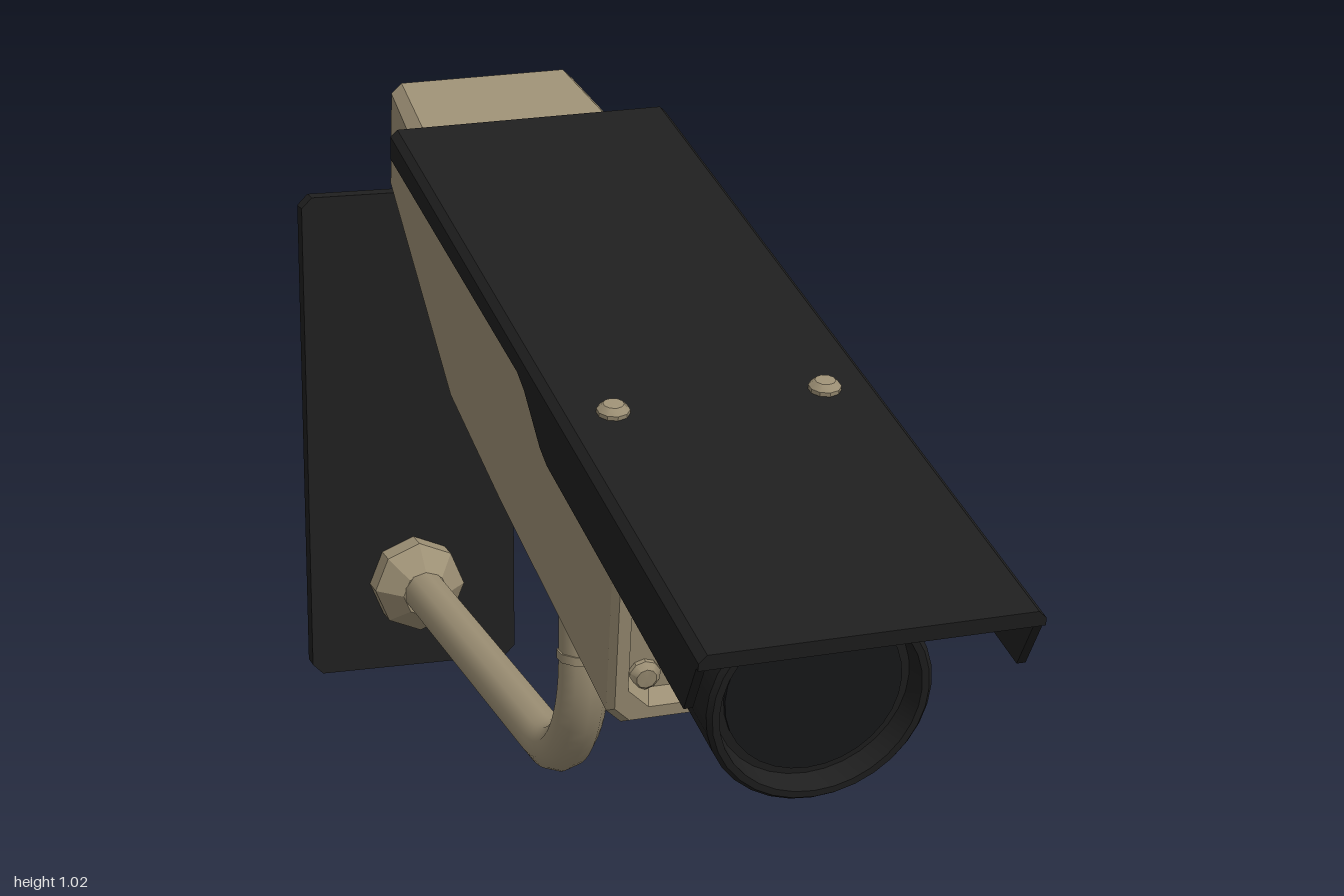
import * as THREE from 'three';
import { toCreasedNormals } from 'three/addons/utils/BufferGeometryUtils.js';

const mat = (name, color) => {
  const m = new THREE.MeshStandardMaterial({ color });
  m.name = name;
  return m;
};

export function createModel() {
  const beige = mat('beige paint', 0x9c8f74);
  const black = mat('black metal', 0x1f1f1f);
  const rubber = mat('black rubber', 0x111111);
  const steel = mat('grey steel', 0x55585a);
  const glass = mat('dark glass', 0x18191b);

  const model = new THREE.Group();
  model.name = 'wallCamera';
  const add = (parent, name, geo, material, x = 0, y = 0, z = 0) => {
    const mesh = new THREE.Mesh(geo, material);
    mesh.name = name;
    mesh.position.set(x, y, z);
    parent.add(mesh);
    return mesh;
  };
  const crease = (geo, angle = 0.6) => toCreasedNormals(geo, angle);
  const lathe = (pts, sides) =>
    crease(new THREE.LatheGeometry(pts.map(p => new THREE.Vector2(...p)), sides));
  const polygon = pts => new THREE.Shape(pts.map(p => new THREE.Vector2(...p)));
  const extrude = (pts, depth) =>
    new THREE.ExtrudeGeometry(polygon(pts), { depth, bevelEnabled: false });

  // Tilted camera head, with a slight roll
  const head = new THREE.Group();
  head.name = 'cameraHead';
  head.position.set(0, 0.7, 0);
  head.rotation.set(0.232, 0, 0.033);
  model.add(head);

  // Housing: chamfered sections [z, half width, bottom, top, chamfer], front recess to rear recess
  const sections = [
    [0.585, 0.001, 0.062, 0.064, 0.0003],
    [0.585, 0.13, -0.056, 0.182, 0.025],
    [0.612, 0.138, -0.064, 0.19, 0.025],
    [0.612, 0.153, -0.079, 0.205, 0.018],
    [0.602, 0.16, -0.086, 0.211, 0.018],
    [0.16, 0.162, -0.066, 0.211, 0.018],
    [-0.085, 0.162, -0.048, 0.211, 0.018],
    [-0.548, 0.128, 0.037, 0.199, 0.014],
    [-0.556, 0.122, 0.043, 0.193, 0.014],
    [-0.556, 0.112, 0.053, 0.183, 0.012],
    [-0.544, 0.108, 0.057, 0.179, 0.012],
    [-0.544, 0.001, 0.117, 0.119, 0.0003],
  ];
  const ring = ([z, w, b, t, c]) => [
    [w, b + c, z], [w, t - c, z], [w - c, t, z], [c - w, t, z],
    [-w, t - c, z], [-w, b + c, z], [c - w, b, z], [w - c, b, z],
  ];
  const rings = sections.map(ring);
  const pos = [];
  for (let i = 0; i < rings.length - 1; i++) {
    for (let j = 0; j < 8; j++) {
      const k = (j + 1) % 8;
      const a = rings[i][j], b = rings[i][k], c = rings[i + 1][k], d = rings[i + 1][j];
      pos.push(...a, ...d, ...c, ...a, ...c, ...b);
    }
  }
  const housing = new THREE.BufferGeometry();
  housing.setAttribute('position', new THREE.Float32BufferAttribute(pos, 3));
  housing.computeVertexNormals();
  add(head, 'housing', housing, beige);

  // Lens barrel, hollow at the front
  const barrel = lathe([
    [0, 0.56], [0.127, 0.56], [0.127, 0.838], [0.122, 0.844],
    [0.114, 0.844], [0.11, 0.815], [0, 0.815],
  ], 32).rotateX(Math.PI / 2);
  add(head, 'lensBarrel', barrel, black, 0, 0.075, 0);
  add(head, 'lensGlass', new THREE.CylinderGeometry(0.1, 0.1, 0.006, 32).rotateX(Math.PI / 2),
    glass, 0, 0.075, 0.817);

  // Sun hood: folded top plate and two stepped side flanges
  const top = extrude([
    [-0.187, 0.222], [0.187, 0.222], [0.187, 0.231], [0.178, 0.24], [-0.178, 0.24], [-0.187, 0.231],
  ], 1.283).translate(0, 0, -0.313);
  add(head, 'hoodTop', top, black);
  const flange = extrude([
    [-0.313, 0.2], [0.3, 0.208], [0.33, 0.2], [0.4, 0.163], [0.43, 0.156],
    [0.934, 0.154], [0.968, 0.23], [-0.313, 0.23],
  ], 0.01).rotateY(-Math.PI / 2);
  add(head, 'hoodFlangeLeft', flange, black, 0.187);
  add(head, 'hoodFlangeRight', flange, black, -0.177);
  add(head, 'hoodSpacer', new THREE.BoxGeometry(0.22, 0.03, 0.5), beige, 0, 0.212, 0.15);

  // Screws on the hood and in the front frame
  const screw = lathe([[0.019, 0], [0.019, 0.006], [0.012, 0.013], [0, 0.014]], 10);
  const frontScrew = screw.clone().rotateX(Math.PI / 2);
  for (const s of [-1, 1]) {
    add(head, 'hoodScrew', screw, beige, s * 0.125, 0.239, 0.473);
    add(head, 'frameScrew', frontScrew, beige, s * 0.112, -0.036, 0.585);
  }

  // Side latch on the left wall
  add(head, 'latchBase', new THREE.BoxGeometry(0.024, 0.065, 0.15), black, 0.165, 0.13, 0.245);
  add(head, 'latchLever', new THREE.BoxGeometry(0.02, 0.045, 0.09), rubber, 0.174, 0.13, 0.225);

  // Cable gland, cable loop and plug
  const rod = (name, from, to, r0, r1, material) => {
    const a = new THREE.Vector3(...from), b = new THREE.Vector3(...to);
    const d = b.clone().sub(a);
    const m = add(model, name, crease(new THREE.CylinderGeometry(r1, r0, d.length(), 12)), material);
    m.position.copy(a).addScaledVector(d, 0.5);
    m.quaternion.setFromUnitVectors(new THREE.Vector3(0, 1, 0), d.normalize());
  };
  const cx = -0.006;
  rod('cableGland', [cx, 0.947, -0.49], [cx, 0.966, -0.6], 0.024, 0.014, steel);
  rod('cableGlandNut', [cx, 0.947, -0.49], [cx, 0.953, -0.53], 0.028, 0.028, steel);
  rod('cablePlug', [cx, 0.79, -0.355], [cx, 0.742, -0.402], 0.022, 0.014, rubber);
  const path = [
    [-0.59, 0.965], [-0.674, 0.957], [-0.728, 0.9], [-0.746, 0.83], [-0.717, 0.738],
    [-0.636, 0.674], [-0.53, 0.668], [-0.44, 0.698], [-0.385, 0.76],
  ].map(([z, y]) => new THREE.Vector3(cx, y, z));
  add(model, 'cable', new THREE.TubeGeometry(new THREE.CatmullRomCurve3(path), 40, 0.008, 8), rubber);

  // Swivel socket under the housing
  const ax = 0.006, az = -0.052;
  const socket = lathe([
    [0, 0.445], [0.06, 0.445], [0.065, 0.45], [0.065, 0.55], [0.062, 0.553],
    [0.062, 0.558], [0.065, 0.561], [0.065, 0.7], [0, 0.7],
  ], 10);
  add(model, 'swivelSocket', socket, beige, ax, 0, az);

  // Bent arm pipe with a collar above the bend
  const arm = new THREE.CurvePath();
  const v = (y, z) => new THREE.Vector3(ax, y, z);
  const bend = [];
  for (let i = 0; i <= 8; i++) {
    const t = (i / 8) * Math.PI / 2;
    bend.push(v(0.328 - 0.185 * Math.sin(t), az - 0.185 * (1 - Math.cos(t))));
  }
  arm.add(new THREE.LineCurve3(v(0.46, az), bend[0]));
  arm.add(new THREE.CatmullRomCurve3(bend));
  arm.add(new THREE.LineCurve3(bend[8], v(0.143, -0.96)));
  add(model, 'armPipe', crease(new THREE.TubeGeometry(arm, 60, 0.034, 10), 0.7), beige);
  add(model, 'armCollar', new THREE.CylinderGeometry(0.0365, 0.0365, 0.012, 10), beige, ax, 0.33, az);

  // Wall flange and wall plate
  const wallFlange = lathe([[0, 0], [0.071, 0], [0.071, 0.04], [0.036, 0.08], [0, 0.08]], 8)
    .rotateX(Math.PI / 2);
  add(model, 'wallFlange', wallFlange, beige, ax, 0.141, -0.972);
  const w = 0.164, h = 0.76, c = 0.016;
  const plate = extrude([
    [c - w, 0], [w - c, 0], [w, c], [w, h - c], [w - c, h], [c - w, h], [-w, h - c], [-w, c],
  ], 0.03);
  add(model, 'wallPlate', plate, black, 0.005, 0, -1);

  return model;
}
